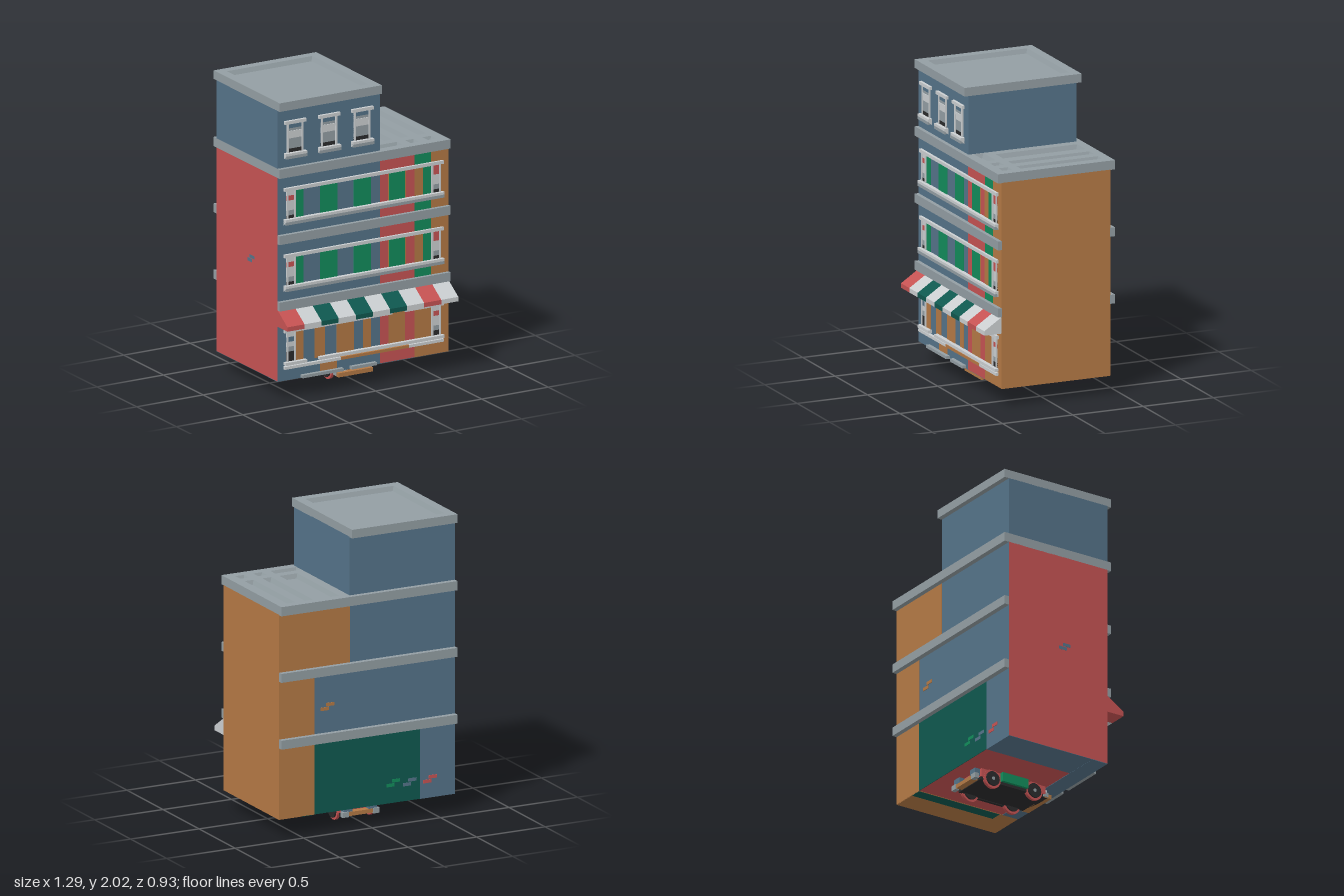
import * as THREE from 'three';

export function createModel() {
  const root = new THREE.Group();
  root.name = 'cornerBuilding';
  const mat = (name, color) => {
    const m = new THREE.MeshStandardMaterial({ color });
    m.name = name;
    return m;
  };
  const blue = mat('slateBlue', 0x557389), orange = mat('ochre', 0xb47945), red = mat('brickRed', 0xc65353);
  const green = mat('green', 0x128c5b), teal = mat('darkTeal', 0x0f584f), white = mat('paleTrim', 0xcbcfd1);
  const grey = mat('stoneGrey', 0x939ea3), dark = mat('nearBlack', 0x2b2b2c);

  const X0 = -0.643, X1 = 0.643, ZB = -0.43, ZF = 0.34, SPLIT = 0.127;
  let parent = root;
  const group = (name) => {
    parent = new THREE.Group();
    parent.name = name;
    root.add(parent);
  };
  const add = (name, geo, m) => {
    const mesh = new THREE.Mesh(geo, m);
    mesh.name = name;
    parent.add(mesh);
    return mesh;
  };
  // Box given by its limits
  const box = (name, m, x0, x1, y0, y1, z0, z1) => add(name,
    new THREE.BoxGeometry(x1 - x0, y1 - y0, z1 - z0).translate((x0 + x1) / 2, (y0 + y1) / 2, (z0 + z1) / 2), m);
  // Thin painted plates on the front and back walls
  const front = (name, m, x0, x1, y0, y1, t = 0.002) => box(name, m, x0, x1, y0, y1, ZF - 0.001, ZF + t);
  const back = (name, m, x0, x1, y0, y1, t = 0.002) => box(name, m, x0, x1, y0, y1, ZB - t, ZB + 0.001);
  // Profile in (z, y) swept along x
  const sweep = (name, m, x0, x1, pts) => {
    const shape = new THREE.Shape(pts.map(([z, y]) => new THREE.Vector2(-z, y)));
    const geo = new THREE.ExtrudeGeometry(shape, { depth: x1 - x0, bevelEnabled: false });
    return add(name, geo.rotateY(Math.PI / 2).translate(x0, 0, 0), m);
  };

  // Roof slab with sunken, slope-sided panels
  const roof = (name, x0, x1, y0, y1, holes) => {
    const rect = (C, a, b, c, d) => {
      const p = new C();
      p.moveTo(a, -d); p.lineTo(b, -d); p.lineTo(b, -c); p.lineTo(a, -c); p.closePath();
      return p;
    };
    const z0 = -0.465, z1 = 0.367, floor = y1 - 0.03, s = 0.014;
    const shape = rect(THREE.Shape, x0, x1, z0, z1);
    shape.holes = holes.map((h) => rect(THREE.Path, ...h));
    const slab = new THREE.ExtrudeGeometry(shape, { depth: y1 - y0, bevelEnabled: false });
    add(name, slab.rotateX(-Math.PI / 2).translate(0, y0, 0), grey);
    for (const [a, b, c, d] of holes) {
      const ring = (i, y) => [a + i, y, c + i, a + i, y, d - i, b - i, y, d - i, b - i, y, c + i];
      const idx = [4, 5, 6, 4, 6, 7];
      for (let k = 0; k < 4; k++) {
        const n = (k + 1) % 4;
        idx.push(k, n, n + 4, k, n + 4, k + 4);
      }
      let g = new THREE.BufferGeometry();
      g.setAttribute('position', new THREE.Float32BufferAttribute([...ring(0, y1), ...ring(s, floor)], 3));
      g.setIndex(idx);
      g = g.toNonIndexed();
      g.computeVertexNormals();
      add(name + 'Recess', g, grey);
    }
  };

  // Main block and tower: side walls differ in colour
  group('walls');
  box('mainBlock', [orange, red, grey, red, blue, blue], X0, X1, 0.11, 1.49, ZB, ZF);
  box('tower', blue, X0, SPLIT, 1.55, 1.945, ZB, ZF);
  box('floorLeft', orange, 0.385, X1, 0.108, 0.112, ZB, ZF);
  box('floorStrip', teal, 0.39, 0.47, 0.107, 0.111, ZB, 0.2);
  box('floorRight', blue, X0, -0.385, 0.108, 0.112, ZB, ZF);
  box('floorFront', blue, X0, 0.385, 0.107, 0.111, 0.22, ZF);

  // Front wall colour fields
  for (const y of [0.65, 1.1]) {
    front('redField', red, SPLIT, 0.385, y, y + 0.39);
    front('greenField', green, 0.385, 0.51, y, y + 0.39);
    front('ochreField', orange, 0.51, X1, y, y + 0.39);
  }
  front('redField', red, SPLIT, 0.385, 0.11, 0.59);
  front('ochreField', orange, 0.385, X1, 0.11, 0.59);
  front('ochrePatch', orange, -0.325, -0.195, 0.13, 0.2);

  // Back wall colour fields and stray bricks
  back('backOchre', orange, 0.385, X1, 0.11, 1.04);
  back('backOchreTop', orange, SPLIT, X1, 1.1, 1.49);
  back('backTeal', teal, -0.385, 0.385, 0.11, 0.59);
  const bricks = (m, x, y) => {
    back('brick', m, x, x + 0.06, y, y + 0.022, 0.004);
    back('brick', m, x - 0.04, x + 0.02, y + 0.027, y + 0.049, 0.004);
  };
  bricks(orange, 0.28, 0.8);
  bricks(green, -0.2, 0.22);
  bricks(blue, -0.32, 0.21);
  bricks(red, -0.47, 0.21);
  for (const [y, z] of [[0.83, -0.04], [0.857, -0.01]]) box('sideBrick', blue, X0 - 0.001, X0 + 0.001, y, y + 0.022, z, z + 0.06);

  // Cornices, roofs
  group('cornicesAndRoofs');
  for (const y of [0.59, 1.04]) {
    box('frontCornice', grey, X0, X1, y, y + 0.06, ZF, 0.367);
    box('backCornice', grey, X0, X1, y, y + 0.06, -0.465, ZB);
  }
  const lower = [];
  for (const [a, b] of [[0.19, 0.32], [0.38, 0.445], [0.51, 0.575]]) lower.push([a, b, -0.405, 0.175], [a === 0.19 ? 0.13 : a, b, 0.235, 0.303]);
  roof('lowerRoof', X0, X1, 1.488, 1.55, lower);
  roof('towerRoof', X0, SPLIT, 1.942, 2, [[-0.58, 0.063, -0.405, 0.303]]);

  // Sloped sill, lintel and posts
  const sill = (x0, x1, y, m = white) => {
    sweep('sill', m, x0, x1, [[ZF, y - 0.03], [0.369, y - 0.005], [0.369, y + 0.012], [ZF, y + 0.012]]);
    box('sillEdge', grey, x0, x1, y - 0.025, y - 0.005, ZF, 0.37);
  };
  const lintel = (x0, x1, y, m = white) => box('lintel', m, x0, x1, y, y + 0.022, ZF, 0.359);
  const sash = (x0, x1, y0, y1, bands) => {
    const h = (y1 - y0) / bands.length;
    bands.forEach((m, i) => front('pane', m, x0, x1, y0 + i * h, y0 + (i + 1) * h, 0.005));
    for (const x of [x0, x1 - 0.012]) box('windowPost', white, x, x + 0.012, y0, y1, ZF, 0.352);
  };

  // Long window bands on the upper floors
  for (const y of [0.74, 1.19]) {
    group('windowBand');
    const y1 = y + 0.2;
    const panels = [[green, -0.515, -0.45], [green, -0.325, -0.195], [green, -0.07, 0.057],
      [orange, 0.188, 0.322], [green, 0.195, 0.315], [orange, 0.385, 0.45], [green, 0.45, 0.51]];
    panels.forEach(([m, a, b], i) => front('panel', m, a, b, y, y1, 0.003 + i * 0.0004));
    sash(-0.58, -0.512, y, y1, [dark, grey, white, white, red, white]);
    sash(0.51, 0.58, y, y1, [dark, grey, white, white, red, red]);
    sill(-0.597, 0.597, y);
    lintel(-0.597, 0.597, y + 0.2);
  }

  // Ground floor
  group('groundFloor');
  for (const [a, b] of [[-0.512, -0.45], [-0.365, -0.288], [-0.198, -0.07], [0, 0.057], [0.19, 0.316]])
    front('panel', orange, a, b, 0.225, 0.43, 0.003);
  sash(-0.58, -0.512, 0.235, 0.432, [dark, dark, grey, white, blue, white]);
  sash(0.51, 0.58, 0.235, 0.432, [dark, grey, white, white, red, white]);
  lintel(-0.6, 0.21, 0.432);
  lintel(0.21, 0.3, 0.432, orange);
  lintel(0.3, 0.6, 0.432);
  for (const [a, b] of [[-0.597, -0.435], [-0.34, 0.597]]) box('upperSill', white, a, b, 0.214, 0.234, ZF, 0.369);
  for (const [m, a, b] of [[white, -0.6, -0.18], [orange, -0.18, 0.335], [white, 0.335, 0.597]])
    box('lowerSill', m, a, b, 0.187, 0.206, ZF, 0.362);
  box('wideStep', grey, -0.47, -0.16, 0.11, 0.13, ZF, 0.367);
  box('doorStep', grey, -0.1, 0.09, 0.11, 0.13, ZF, 0.367);

  // Striped awning
  group('awning');
  const stripes = [red, white, teal, white, teal, white, teal, white, red, white];
  const w = (X1 - X0) / stripes.length;
  stripes.forEach((m, i) => sweep('awningStripe', m, X0 + i * w, X0 + (i + 1) * w,
    [[ZF, 0.48], [0.465, 0.48], [0.465, 0.51], [ZF, 0.592]]));

  // Three tower windows
  for (const x of [-0.515, -0.26, -0.01]) {
    group('towerWindow');
    sash(x - 0.06, x + 0.06, 1.64, 1.846, [dark, grey, grey, white, grey, blue]);
    box('crossBar', white, x - 0.05, x + 0.05, 1.778, 1.794, ZF, 0.35);
    sill(x - 0.08, x + 0.08, 1.637);
    lintel(x - 0.08, x + 0.08, 1.843);
  }

  // Small car beneath the building
  group('car');
  box('chassis', dark, -0.125, 0.125, 0.03, 0.05, -0.3, 0.22);
  box('body', red, -0.135, 0.135, 0.05, 0.105, -0.3, 0.2);
  for (const s of [-1, 1]) {
    const side = (name, m, a, b, y0, y1, z0, z1) => box(name, m, Math.min(s * a, s * b), Math.max(s * a, s * b), y0, y1, z0, z1);
    side('door', green, 0.13, 0.16, 0.045, 0.108, -0.15, 0.05);
    side('doorSill', dark, 0.12, 0.14, 0.025, 0.045, -0.15, 0.05);
    side('headlight', white, 0.06, 0.105, 0.062, 0.098, 0.2, 0.232);
    side('tailLight', blue, 0.06, 0.12, 0.06, 0.105, -0.34, -0.3);
    side('bumperEnd', grey, 0.09, 0.135, 0.03, 0.065, -0.35, -0.32);
    side('frontBumperEnd', grey, 0.1, 0.135, 0.035, 0.065, 0.19, 0.225);
    for (const z of [0.11, -0.215]) {
      const disc = (name, m, r, t, x) => add(name,
        new THREE.CylinderGeometry(r, r, t, 16).rotateZ(Math.PI / 2).translate(s * x, 0.05, z), m);
      disc('wheelArch', red, 0.065, 0.02, 0.127);
      disc('tyre', dark, 0.05, 0.042, 0.127);
      disc('hub', grey, 0.012, 0.006, 0.148);
    }
  }
  box('grille', dark, -0.06, 0.06, 0.06, 0.1, 0.2, 0.215);
  box('frontBumper', orange, -0.13, 0.13, 0.03, 0.058, 0.2, 0.25);
  box('rearBumper', orange, -0.09, 0.09, 0.035, 0.062, -0.345, -0.3);
  return root;
}
